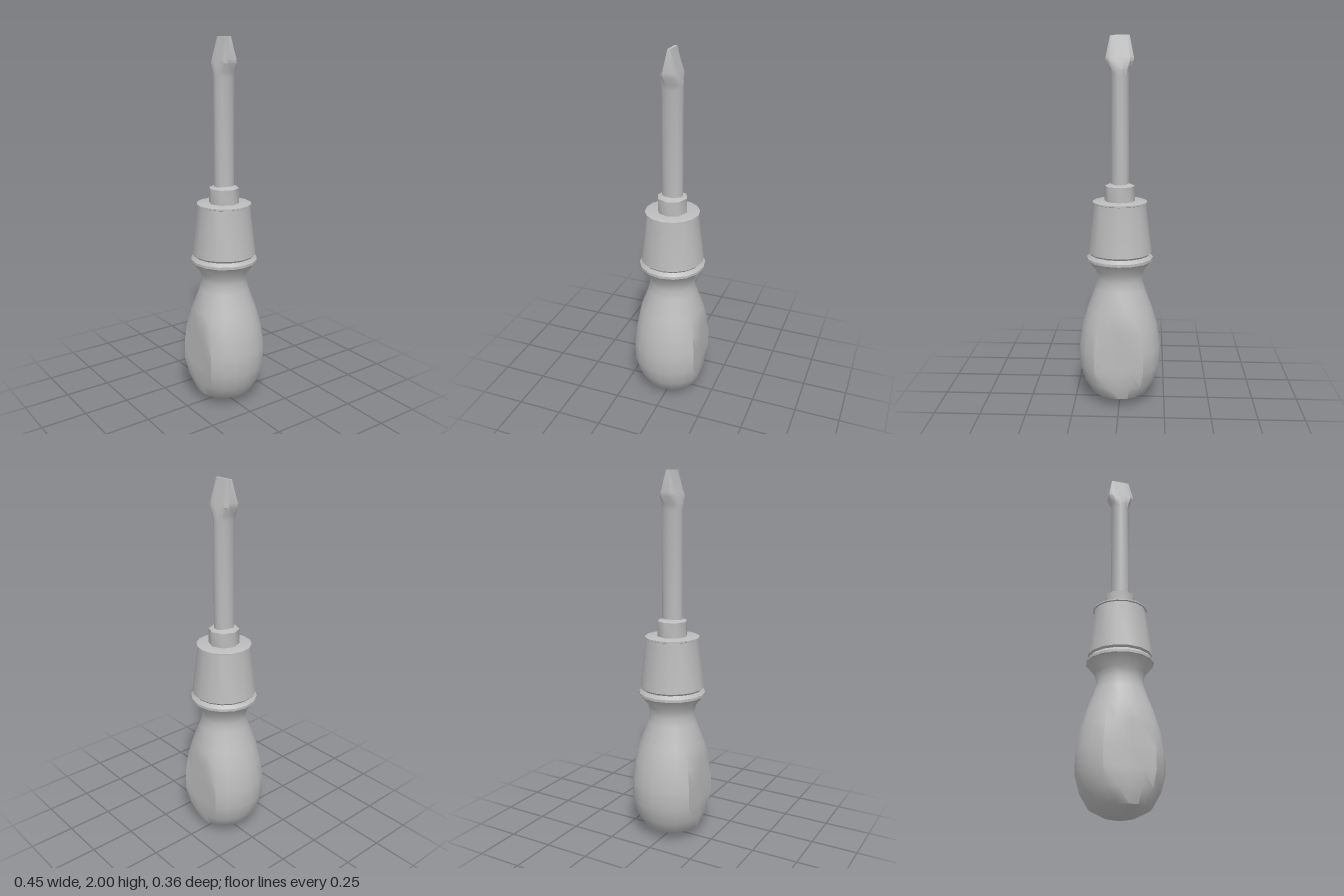
import * as THREE from 'three';
import { toCreasedNormals } from 'three/addons/utils/BufferGeometryUtils.js';

const clamp = THREE.MathUtils.clamp;

export function createModel() {
  const group = new THREE.Group();
  const steel = new THREE.MeshStandardMaterial({ color: 0xbcbcbc });
  steel.name = 'grey';

  const lathe = (points, sides, start = 0) =>
    new THREE.LatheGeometry(points.map(([r, y]) => new THREE.Vector2(r, y)), sides, start);

  const add = (name, geometry, crease) => {
    const mesh = new THREE.Mesh(toCreasedNormals(geometry, crease), steel);
    mesh.name = name;
    group.add(mesh);
  };

  // Bulbous grip, turned and then cut flat at the front and back
  const grip = lathe([
    [0, 0.005], [0.08, 0.022], [0.155, 0.06], [0.2, 0.135], [0.225, 0.225], [0.226, 0.33],
    [0.206, 0.45], [0.176, 0.55], [0.135, 0.66], [0.123, 0.71], [0.132, 0.76], [0.178, 0.818],
  ], 20);
  const gp = grip.attributes.position;
  for (let i = 0; i < gp.count; i++) gp.setZ(i, clamp(gp.getZ(i), -0.178, 0.178));
  add('grip', grip, 0.7);

  // Flange between grip and ferrule
  add('flange', lathe([[0.17, 0.812], [0.181, 0.818], [0.181, 0.832], [0.17, 0.842], [0.16, 0.855]], 16), 0.5);

  // Tapered ferrule with a thin lip
  add('ferrule', lathe([
    [0.16, 0.845], [0.173, 0.86], [0.141, 1.127], [0.148, 1.13], [0.148, 1.138], [0.14, 1.141], [0, 1.141],
  ], 16), 0.5);

  // Eight-sided collar around the shaft
  add('collar', lathe([[0.082, 1.135], [0.082, 1.222], [0.05, 1.236], [0, 1.236]], 8), 0.85);

  // Shaft flowing into a flared flat blade: y, x radius, z radius, half thickness
  const levels = [
    [1.2, 0.049, 0.057, 0.06], [1.8, 0.049, 0.057, 0.06], [1.83, 0.057, 0.062, 0.055],
    [1.87, 0.074, 0.1, 0.044], [1.89, 0.075, 0.1, 0.038], [2, 0.052, 0.1, 0.007], [2, 0, 0, 0],
  ];
  const shaft = lathe(levels.map(([y]) => [1, y]), 12, Math.PI / 12);
  const sp = shaft.attributes.position;
  for (let i = 0; i < sp.count; i++) {
    const [, a, b, t] = levels[i % levels.length];
    sp.setX(i, sp.getX(i) * a);
    sp.setZ(i, clamp(sp.getZ(i) * b, -t, t));
  }
  add('shaftAndBlade', shaft, 0.6);

  return group;
}
